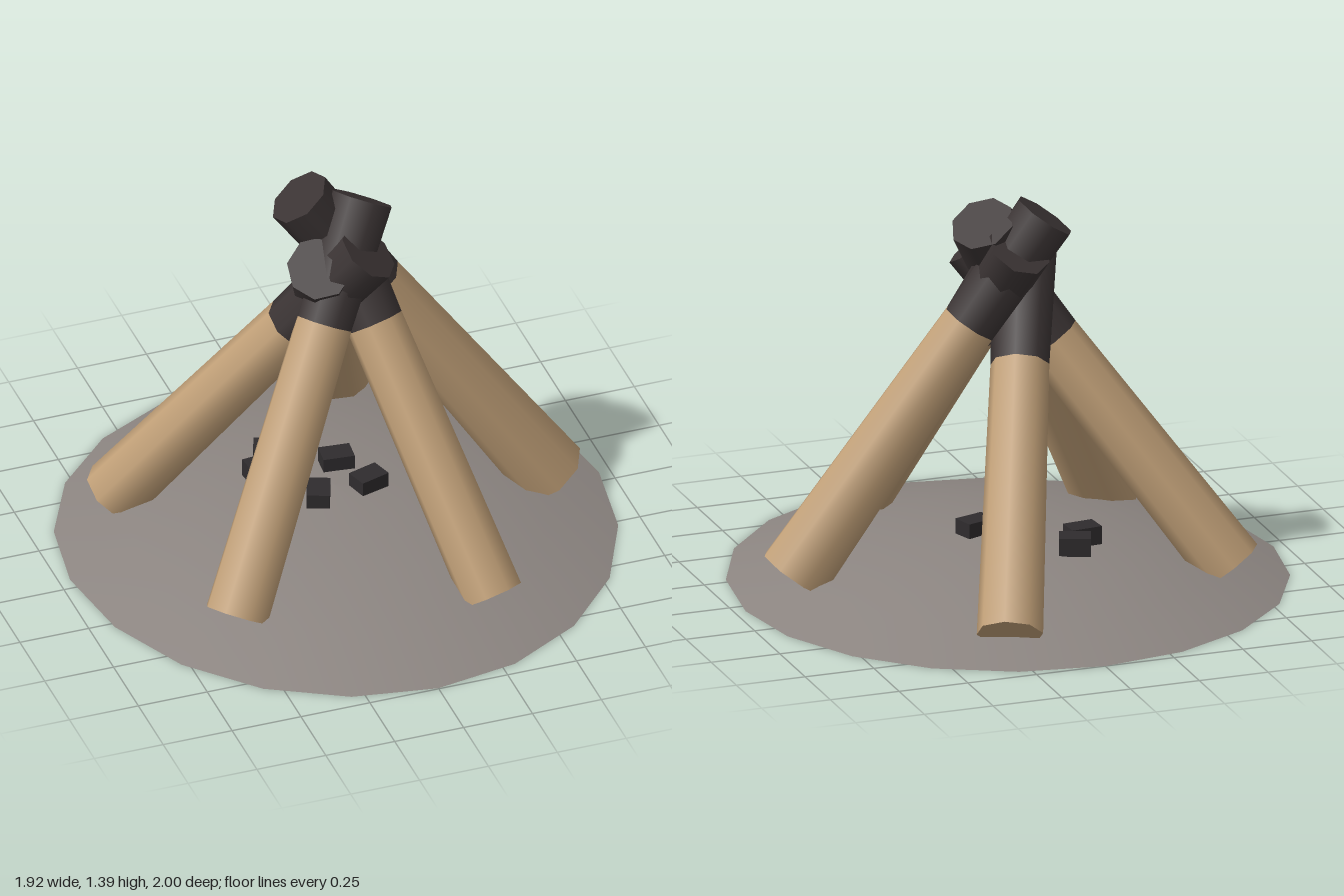
import * as THREE from 'three';

export function createModel() {
  const model = new THREE.Group();
  model.name = 'campfire';
  const mat = (name, color, side = THREE.FrontSide) => {
    const m = new THREE.MeshStandardMaterial({ color, side });
    m.name = name;
    return m;
  };
  const wood = mat('wood', 0xc1a078);
  const char = mat('charredWood', 0x3b3434);
  const coal = mat('coal', 0x2f2c2e);
  const ash = mat('ash', 0x8c8581, THREE.DoubleSide);

  const add = (parent, name, geometry, material) => {
    const mesh = new THREE.Mesh(geometry, material);
    mesh.name = name;
    parent.add(mesh);
    return mesh;
  };

  // Ash mound: open shallow dome, a little longer towards the front
  const profile = [[0.96, 0], [0.72, 0.077], [0.48, 0.13], [0.24, 0.163], [0, 0.172]]
    .map(([r, y]) => new THREE.Vector2(r, y));
  const dome = new THREE.LatheGeometry(profile, 20);
  const p = dome.attributes.position;
  for (let i = 0; i < p.count; i++) {
    const z = p.getZ(i);
    p.setZ(i, z * (z > 0 ? 1.09 : 0.99) - 0.05);
  }
  add(model, 'ashMound', dome, ash);

  // Leaning logs: foot centre, tip centre, foot radius; the top 30% is charred
  const logs = [
    [[-0.53, 0.07, 0.44], [0.11, 1.31, -0.08], 0.115],
    [[0.33, 0.07, 0.62], [0.01, 1.24, -0.18], 0.11],
    [[0.76, 0.09, 0.01], [-0.1, 1.33, -0.13], 0.13],
    [[0.27, 0.08, -0.79], [-0.09, 1.15, 0.05], 0.115],
    [[-0.68, 0.08, -0.39], [0.08, 1.19, 0.07], 0.115],
  ];
  const up = new THREE.Vector3(0, 1, 0);
  logs.forEach(([a, b, r], i) => {
    const foot = new THREE.Vector3(...a);
    const axis = new THREE.Vector3(...b).sub(foot);
    const length = axis.length();
    const log = new THREE.Group();
    log.name = `log${i + 1}`;
    log.position.copy(foot);
    log.quaternion.setFromUnitVectors(up, axis.normalize());
    const split = 0.7 * length;
    const lower = new THREE.CylinderGeometry(0.102, r, split, 8).translate(0, split / 2, 0);
    const upper = new THREE.CylinderGeometry(0.113, 0.102, length - split, 8)
      .translate(0, (length + split) / 2, 0);
    for (const g of [lower, upper]) g.rotateY(i * 0.35);
    add(log, 'logShaft', lower, wood);
    add(log, 'charredTip', upper, char);
    model.add(log);
  });

  // Coals: x, z, turn
  const coals = [
    [0.11, -0.01, 0.3], [0.05, -0.17, -0.1], [-0.08, 0.01, 1.2],
    [-0.15, -0.29, -0.35], [-0.21, -0.2, 0.1],
  ];
  coals.forEach(([x, z, turn], i) => {
    const mesh = add(model, `coal${i + 1}`, new THREE.BoxGeometry(0.11, 0.065, 0.08), coal);
    mesh.position.set(x, 0.187, z);
    mesh.rotation.y = turn;
  });
  return model;
}
